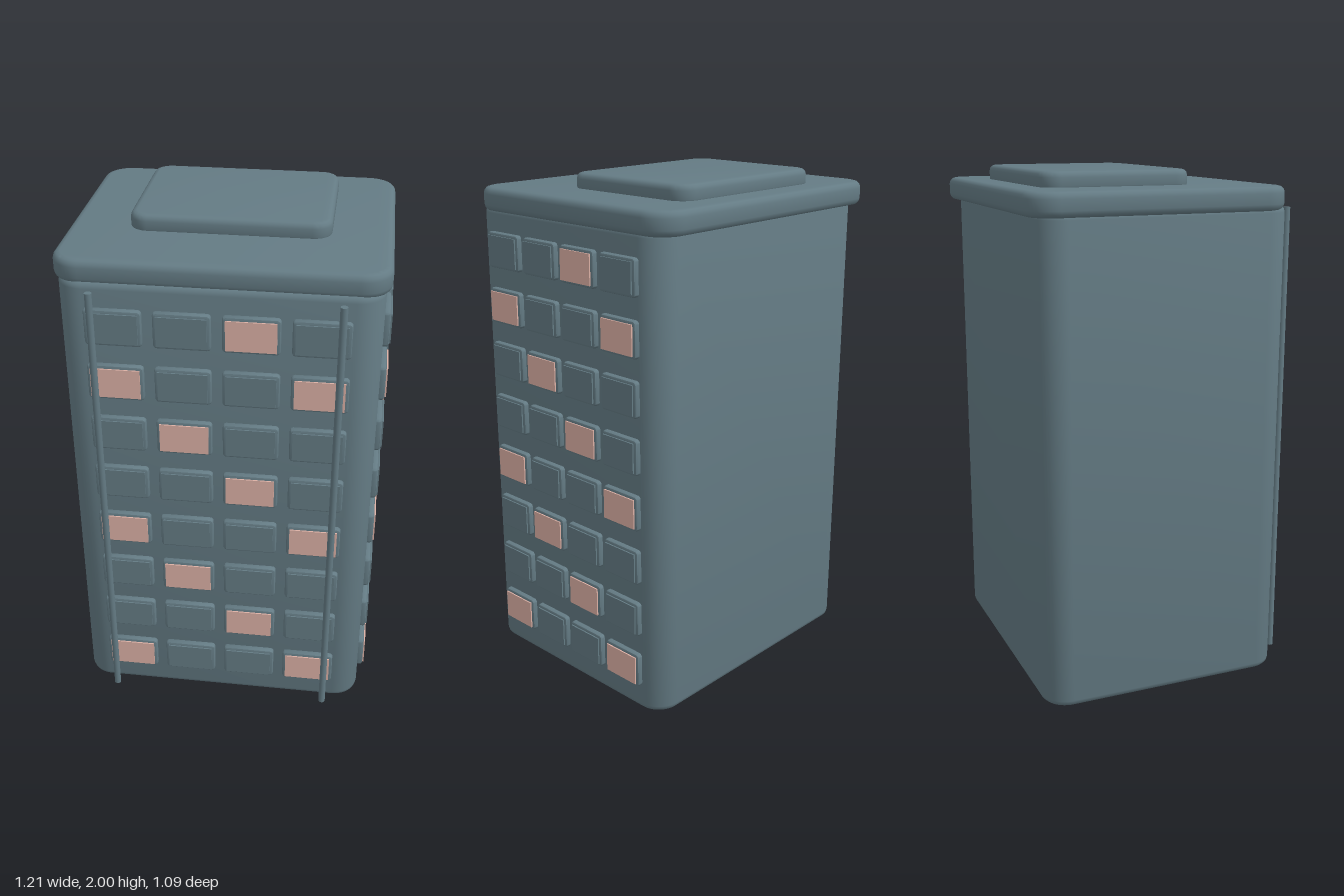
import * as THREE from 'three';
import { toCreasedNormals } from 'three/addons/utils/BufferGeometryUtils.js';

// Rounded rectangle w x h extruded from z = 0 to z = depth with bevelled rims
function bevelledSlab(w, h, depth, radius, bevel, curveSegments, bevelSegments) {
  const x = w / 2 - bevel, y = h / 2 - bevel, r = radius - bevel;
  const s = new THREE.Shape();
  s.moveTo(-x + r, -y);
  s.lineTo(x - r, -y);
  s.absarc(x - r, -y + r, r, -Math.PI / 2, 0);
  s.lineTo(x, y - r);
  s.absarc(x - r, y - r, r, 0, Math.PI / 2);
  s.lineTo(-x + r, y);
  s.absarc(-x + r, y - r, r, Math.PI / 2, Math.PI);
  s.lineTo(-x, -y + r);
  s.absarc(-x + r, -y + r, r, Math.PI, Math.PI * 1.5);
  const g = new THREE.ExtrudeGeometry(s, {
    depth: depth - 2 * bevel, bevelEnabled: true, bevelSize: bevel,
    bevelThickness: bevel, bevelSegments, curveSegments,
  });
  g.translate(0, 0, bevel);
  return toCreasedNormals(g, 0.7);
}

export function createModel() {
  const model = new THREE.Group();
  model.name = 'apartmentTower';

  const wall = new THREE.MeshStandardMaterial({ color: 0x647b84 });
  wall.name = 'slateWall';
  const lit = new THREE.MeshStandardMaterial({ color: 0xdcb0a5 });
  lit.name = 'litWindow';

  const add = (parent, geometry, material, name, x, y, z) => {
    const m = new THREE.Mesh(geometry, material);
    m.name = name;
    m.position.set(x, y, z);
    parent.add(m);
    return m;
  };

  // Stacked floors and roof: [name, width, depth, y bottom, height, z centre, corner radius, bevel]
  const slabs = [
    ['body', 1.16, 0.987, 0, 1.87, -0.01, 0.1, 0.025],
    ['roofSlab', 1.2, 1.02, 1.853, 0.09, -0.037, 0.11, 0.025],
    ['roofHatch', 0.746, 0.59, 1.925, 0.075, -0.13, 0.07, 0.022],
  ];
  for (const [name, w, d, y, h, z, r, b] of slabs) {
    const g = bevelledSlab(w, d, h, r, b, 6, 3);
    g.rotateX(-Math.PI / 2);
    add(model, g, wall, name, -0.005, y, z);
  }

  // Window grid: each window is a bevelled frame carrying a thin pane
  function windowWall(name, width, spacing) {
    const group = new THREE.Group();
    group.name = name;
    const frame = bevelledSlab(width, 0.139, 0.04, 0.014, 0.01, 2, 2);
    const pane = new THREE.BoxGeometry(width - 0.024, 0.115, 0.0095);
    for (let row = 0; row < 8; row++) {
      for (let col = 0; col < 4; col++) {
        const x = (col - 1.5) * spacing, y = 0.175 + row * 0.219;
        add(group, frame, wall, 'windowFrame', x, y, -0.017);
        add(group, pane, (row + col) % 3 === 0 ? lit : wall, 'windowPane', x, y, 0.0237);
      }
    }
    model.add(group);
    return group;
  }
  windowWall('frontWindows', 0.207, 0.2467).position.set(-0.005, 0, 0.483);
  const side = windowWall('leftWindows', 0.18, 0.2075);
  side.position.set(0.573, 0, -0.009);
  side.rotation.y = Math.PI / 2;
  // Keep the lit pattern starting from the front corner on the side wall
  side.updateMatrix();

  // Free-standing drainpipes in front of the facade
  const pipe = new THREE.CylinderGeometry(0.0135, 0.0135, 1.835, 12);
  for (const s of [-1, 1]) add(model, pipe, wall, 'drainpipe', -0.005 + s * 0.44, 0.9375, 0.533);

  return model;
}
